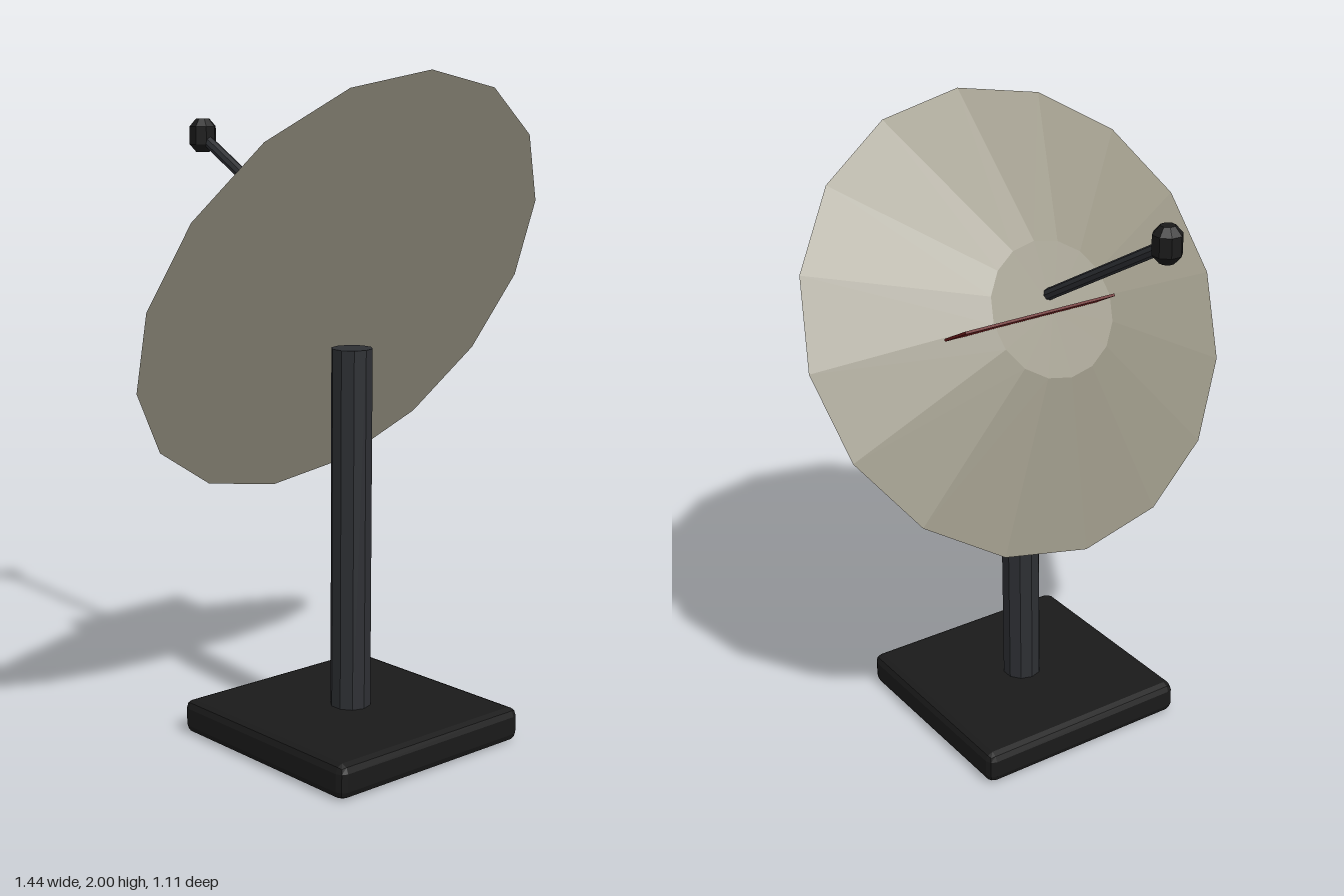
import * as THREE from 'three';
import { RoundedBoxGeometry } from 'three/addons/geometries/RoundedBoxGeometry.js';

const material = (color) => new THREE.MeshStandardMaterial({ color, flatShading: true });

function addPart(parent, name, geometry, mat, x = 0, y = 0, z = 0) {
  const mesh = new THREE.Mesh(geometry, mat);
  mesh.name = name;
  mesh.position.set(x, y, z);
  parent.add(mesh);
  return mesh;
}

export function createModel() {
  const model = new THREE.Group();
  model.name = 'dishAntenna';
  const black = material(0x1a1a1a);
  const steel = material(0x2d2f33);
  const cream = material(0x9a9686);
  const red = material(0x6a1a1a);

  // Chamfered base plate and mast
  const mastZ = 0.193;
  addPart(model, 'base', new RoundedBoxGeometry(0.725, 0.104, 0.725, 1, 0.025), black, 0, 0.052, mastZ);
  addPart(model, 'mast', new THREE.CylinderGeometry(0.062, 0.062, 1.14, 10), steel, 0, 0.63, mastZ);

  // Tilted head: local +y is the dish axis, local +z runs up the rim plane
  const head = new THREE.Group();
  head.name = 'dishHead';
  head.position.set(0, 1.364, 0.172);
  head.rotation.x = THREE.MathUtils.degToRad(-62);
  model.add(head);

  // Closed dish tapering from wide rim to small flat face
  const depth = 0.184;
  addPart(head, 'dish', new THREE.CylinderGeometry(0.207, 0.722, depth, 16), cream, 0, depth / 2, 0);

  // Thin plate standing on the small face, set off to one side
  addPart(head, 'redPlate', new THREE.BoxGeometry(0.515, 0.13, 0.008), red, 0.103, 0.221, -0.008);

  // Feed arm, leaning slightly off the dish axis
  const start = new THREE.Vector3(0, 0.15, 0.045);
  const end = new THREE.Vector3(0, 0.8, 0.062);
  const span = end.clone().sub(start);
  const arm = addPart(head, 'feedArm', new THREE.CylinderGeometry(0.018, 0.018, span.length(), 8), steel);
  arm.position.copy(start).addScaledVector(span, 0.5);
  arm.quaternion.setFromUnitVectors(new THREE.Vector3(0, 1, 0), span.normalize());

  // Upright faceted receiver at the arm tip
  const profile = [[0, -0.052], [0.022, -0.052], [0.043, -0.028], [0.043, 0.028], [0.022, 0.052], [0, 0.052]]
    .map(([r, y]) => new THREE.Vector2(r, y));
  const receiver = addPart(model, 'receiver', new THREE.LatheGeometry(profile, 8), black, 0, 1.802, -0.514);
  receiver.rotation.y = Math.PI / 8;

  return model;
}
